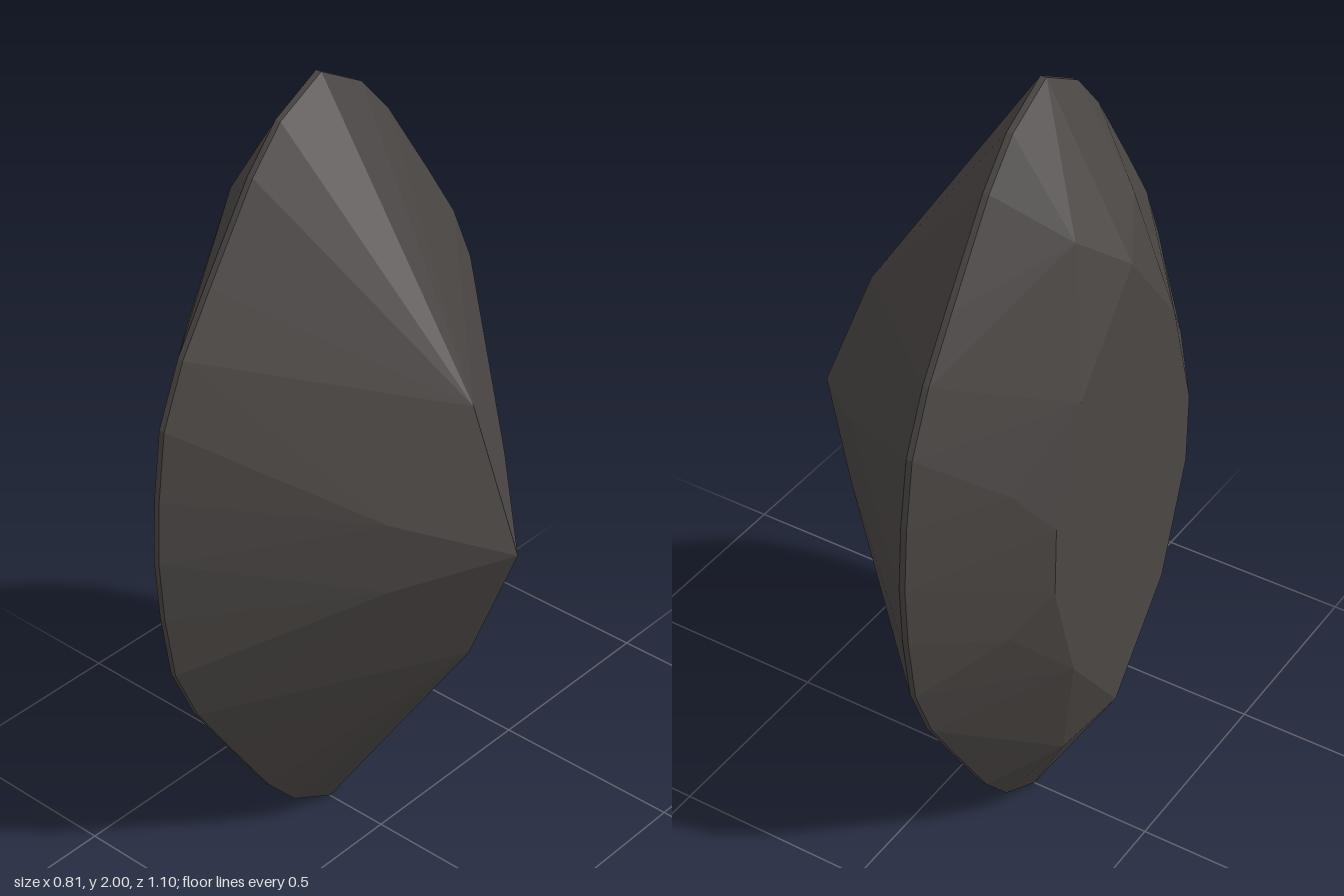
import * as THREE from 'three';
import { ConvexGeometry } from 'three/addons/geometries/ConvexGeometry.js';

// Marquise-cut gem: a convex solid, table facing -x and culet pointing +x.
// Each tier is one quarter of its corners as [height above centre, half-width].
const GIRDLE = [[1, 0], [0.93, 0.13], [0.83, 0.22], [0.62, 0.36], [0.48, 0.45], [0.33, 0.515], [0.16, 0.54], [0, 0.55]];
const TIERS = [
  { x: -0.405, corners: [[0.615, 0], [0.375, 0.2], [0.09, 0.29]] }, // table
  { x: -0.335, corners: [[0.71, 0.12], [0.2, 0.365]] },             // crown facet corners
  { x: -0.185, corners: GIRDLE },                                   // girdle, crown side
  { x: -0.17, corners: GIRDLE },                                    // girdle, pavilion side
  { x: 0.2, corners: [[0.09, 0.2]] },                               // pavilion facet corners
  { x: 0.27, corners: [[0.335, 0]] },                               // keel ends
  { x: 0.405, corners: [[0, 0]] },                                  // culet
];

// Mirror a quarter tier up/down and front/back without repeating points on an axis
function mirrorTier({ x, corners }) {
  const points = [];
  for (const [h, w] of corners) {
    for (const sy of h === 0 ? [1] : [1, -1]) {
      for (const sz of w === 0 ? [1] : [1, -1]) {
        points.push(new THREE.Vector3(x, 1 + sy * h, sz * w));
      }
    }
  }
  return points;
}

export function createModel() {
  const group = new THREE.Group();
  group.name = 'marquiseGem';
  const material = new THREE.MeshStandardMaterial({ color: 0x4a4644, flatShading: true });
  const gem = new THREE.Mesh(new ConvexGeometry(TIERS.flatMap(mirrorTier)), material);
  gem.name = 'facetedStone';
  group.add(gem);
  return group;
}
